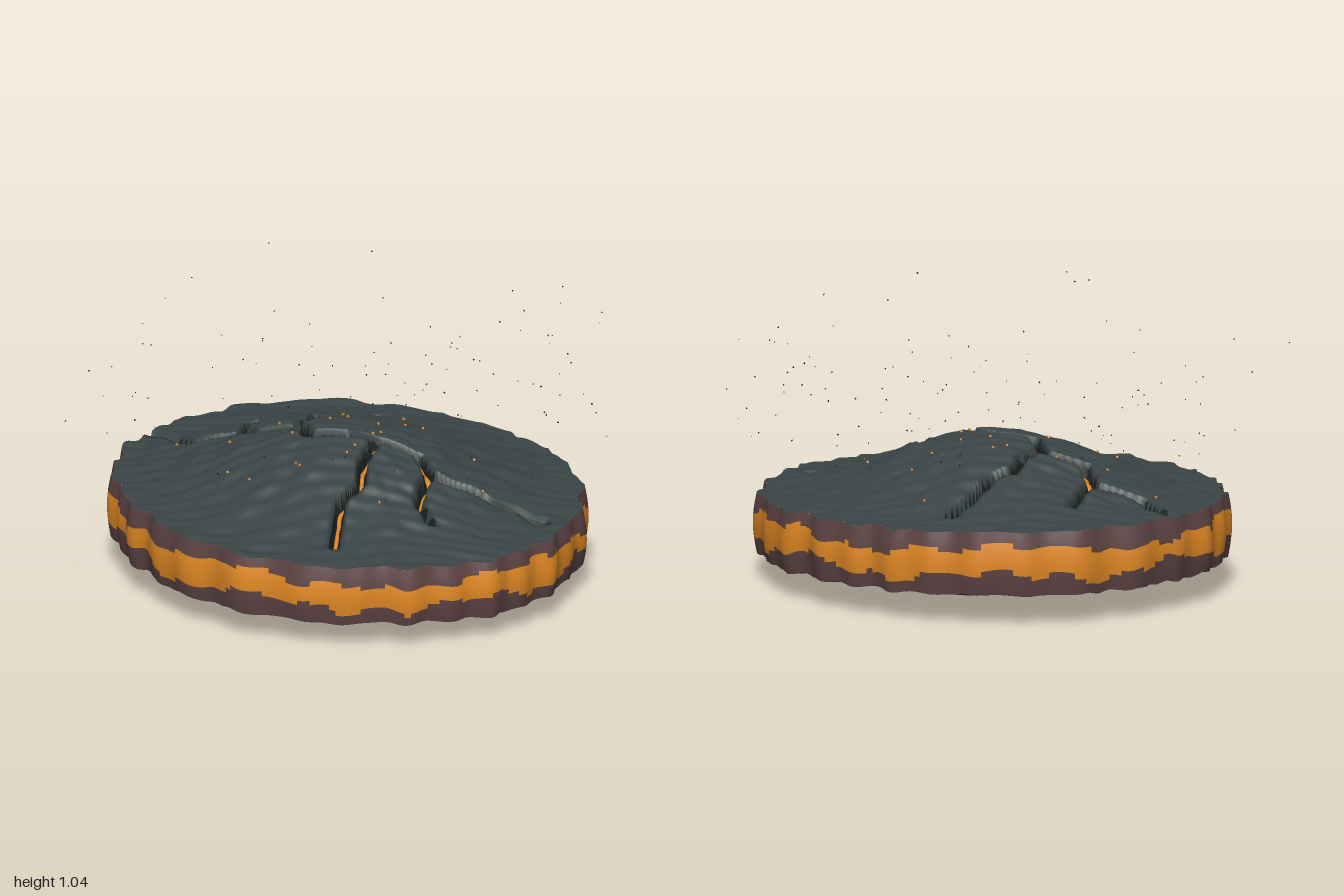
import * as THREE from 'three';
import { mergeGeometries } from 'three/addons/utils/BufferGeometryUtils.js';

const { sin, cos, PI, hypot, round } = Math;

// Crack lines: half width w, points [x, z]
const TOP_CRACKS = [
  { w: 0.02, glow: 0.011, p: [[-0.8, 0.2], [-0.71, 0.17], [-0.6, 0.18], [-0.48, 0.07], [-0.37, 0.105], [-0.257, 0.016], [-0.124, 0.058],
    [-0.03, -0.026], [0.07, -0.074], [0.17, -0.164], [0.283, -0.132], [0.405, -0.265], [0.58, -0.36]] },
  { w: 0.016, glow: 0.008, p: [[-0.257, 0.016], [-0.29, -0.074], [-0.368, -0.16], [-0.362, -0.228], [-0.42, -0.333], [-0.452, -0.407], [-0.484, -0.466]] },
  { w: 0.016, glow: 0.007, p: [[0.07, -0.074], [0.135, 0.03], [0.23, 0.106], [0.262, 0.21], [0.436, 0.365]] },
  { w: 0.013, glow: 0.005, p: [[0.283, -0.132], [0.32, -0.074], [0.384, -0.01], [0.49, 0.016]] },
  { w: 0.012, glow: 0.003, p: [[-0.48, 0.07], [-0.553, -0.016], [-0.616, -0.095]] },
];
const BOTTOM_CRACKS = [
  { w: 0.02, p: [[0.57, 0.42], [0.4, 0.32], [0.216, 0.27], [-0.014, 0.11], [-0.2, 0.03], [-0.33, -0.08], [-0.53, -0.18], [-0.66, -0.4]] },
  { w: 0.014, glow: 0.005, p: [[-0.014, 0.11], [0.18, 0], [0.25, -0.08], [0.42, -0.216]] },
  { w: 0.014, glow: 0.005, p: [[-0.33, -0.08], [-0.08, -0.26], [0.156, -0.396]] },
  { w: 0.012, glow: 0.003, p: [[-0.53, -0.18], [-0.6, -0.1], [-0.68, -0.046]] },
];

function lineDistance(x, z, pts) {
  let best = 9;
  for (let i = 1; i < pts.length; i++) {
    const [ax, az] = pts[i - 1], dx = pts[i][0] - ax, dz = pts[i][1] - az;
    const k = THREE.MathUtils.clamp(((x - ax) * dx + (z - az) * dz) / (dx * dx + dz * dz), 0, 1);
    best = Math.min(best, hypot(x - ax - k * dx, z - az - k * dz));
  }
  return best;
}
function grooveDepth(x, z, cracks, depth) {
  let g = 0;
  for (const c of cracks)
    g = Math.max(g, 1 - THREE.MathUtils.smoothstep(lineDistance(x, z, c.p), c.w * 0.45, c.w * 1.3));
  return g * depth;
}

// Wavy oval outline
const CX = -0.05, CZ = -0.05, RX = 0.808, RZ = 0.728;
const outline = a => 1 + 0.011 * sin(29 * a + 2 * sin(3 * a)) + 0.008 * sin(17 * a + 1) + 0.008 * sin(5 * a + 2) + 0.01 * sin(2 * a + 0.4);
const place = (a, t) => [CX + RX * t * outline(a) * cos(a), CZ + RZ * t * outline(a) * sin(a)];
const rough = (x, z) => 0.0025 * sin(90 * (0.8 * x + 0.6 * z) + 3 * sin(9 * z)) + 0.003 * sin(31 * x - 12 * z + 2 * sin(13 * z))
  + 0.002 * sin(57 * z + 21 * x + 2 * sin(17 * x));
const ovalT = (x, z) => {
  const a = Math.atan2((z - CZ) / RZ, (x - CX) / RX);
  return hypot((x - CX) / RX, (z - CZ) / RZ) / outline(a);
};
const rimTop = (x, z) => 0.285 - 0.028 * x + rough(x, z);
const rimBottom = (x, z) => 0.088 - 0.015 * x + rough(x, z);
const topY = (x, z) => rimTop(x, z) + 0.095 * (1 + cos(PI * Math.min(1, ovalT(x, z)))) - grooveDepth(x, z, TOP_CRACKS, 0.06);
const bottomY = (x, z) => rimBottom(x, z) - 0.04 * (1 + cos(PI * Math.min(1, ovalT(x, z)))) + grooveDepth(x, z, BOTTOM_CRACKS, 0.045);

// Closed ring surface: point(a, v), with a material index chosen for each cell
function ringSurface(nu, nv, point, pick, flip) {
  const pos = [], cells = [[], []];
  for (let j = 0; j <= nv; j++)
    for (let i = 0; i < nu; i++) pos.push(...point((i / nu) * PI * 2, j / nv));
  for (let j = 0; j < nv; j++)
    for (let i = 0; i < nu; i++) {
      const k = (i + 1) % nu, a = j * nu + i, b = j * nu + k, c = a + nu, d = b + nu;
      const out = cells[pick(((i + 0.5) / nu) * PI * 2, j, (j + 0.5) / nv)];
      if (flip) out.push(a, c, b, b, c, d);
      else out.push(a, b, c, b, d, c);
    }
  const g = new THREE.BufferGeometry();
  g.setAttribute('position', new THREE.Float32BufferAttribute(pos, 3));
  g.setIndex([...cells[0], ...cells[1]]);
  g.addGroup(0, cells[0].length, 0);
  g.addGroup(cells[0].length, cells[1].length, 1);
  g.computeVertexNormals();
  return g;
}

export function createModel() {
  const mat = (name, color) => Object.assign(new THREE.MeshStandardMaterial({ color }), { name });
  const slate = mat('slate', 0x3a4444), char = mat('char', 0x1c2020);
  const maroon = mat('maroon', 0x5e4444), ember = mat('ember orange', 0xe38a24);
  const group = new THREE.Group();
  group.name = 'crackedSlab';
  const add = (name, geometry, material) => {
    const m = new THREE.Mesh(geometry, material);
    m.name = name;
    group.add(m);
  };

  // Domed top and shallow underside, both grooved by cracks
  const inCrack = cracks => (a, j, v) => {
    const [x, z] = place(a, v);
    return cracks.some(c => c.glow && lineDistance(x, z, c.p) < c.w * 0.95) ? 1 : 0;
  };
  const sheet = height => (a, t) => {
    const [x, z] = place(a, t);
    return [x, height(x, z), z];
  };
  add('domeTop', ringSurface(320, 96, sheet(topY), inCrack(TOP_CRACKS), false), [slate, char]);
  add('underside', ringSurface(240, 72, sheet(bottomY), inCrack(BOTTOM_CRACKS), true), [slate, char]);

  // Bulging rim wall with a stepped glowing band
  const ROWS = 12;
  const wall = (a, v) => {
    const [x0, z0] = place(a, 1);
    const [x, z] = place(a, 1 + 0.016 * sin(PI * v));
    const wave = sin(PI * v) * (0.006 * sin(11 * a + 1) + 0.004 * sin(26 * a));
    return [x, THREE.MathUtils.lerp(rimBottom(x0, z0), rimTop(x0, z0), v) + wave, z];
  };
  const inBand = (a, j) => {
    const lo = round(3.6 + 1.0 * sin(7 * a + 0.7) + 0.7 * sin(22 * a + 2));
    const hi = round(8.6 + 0.8 * sin(5 * a + 2.2) + 0.6 * sin(19 * a));
    return j >= lo && j < hi ? 1 : 0;
  };
  add('rimWall', ringSurface(240, ROWS, wall, inBand, true), [maroon, ember]);

  // Glowing veins on the crack floors
  const vein = (c, height, lift) => {
    const pts = [];
    c.p.forEach(([x, z], i) => {
      const [px, pz] = c.p[i - 1] || [x, z], n = i ? 5 : 1;
      for (let k = 1; k <= n; k++) {
        const X = px + ((x - px) * k) / n, Z = pz + ((z - pz) * k) / n;
        pts.push(new THREE.Vector3(X, height(X, Z) + lift, Z));
      }
    });
    return new THREE.TubeGeometry(new THREE.CatmullRomCurve3(pts), pts.length * 3, c.glow, 6);
  };
  add('topVeins', mergeGeometries(TOP_CRACKS.map(c => vein(c, topY, 0.004))), ember);
  add('undersideVeins', mergeGeometries(BOTTOM_CRACKS.filter(c => c.glow).map(c => vein(c, bottomY, -0.002))), ember);

  // Drifting specks of ash and sparks
  let seed = 7;
  const rnd = () => (seed = (seed * 16807) % 2147483647) / 2147483647;
  const speck = (x, y, z, r) => new THREE.OctahedronGeometry(r).rotateX(rnd() * 3).rotateZ(rnd() * 3).translate(x, y, z);
  const ash = [[-0.97, 0.54, 0.1], [0.87, 0.52, -0.1], [0.02, 0.7, -0.997], [-0.15, 0.68, 0.997], [-0.35, 1.04, 0.05]]
    .map(([x, y, z]) => speck(x, y, z, 0.003));
  const sparks = [];
  for (let i = 0; i < 130; i++) {
    const a = rnd() * PI * 2, r = 0.85 * Math.sqrt(rnd());
    ash.push(speck(CX + r * cos(a), 0.46 + 0.45 * rnd() * rnd(), CZ + r * sin(a), 0.002 + 0.002 * rnd()));
  }
  for (let i = 0; i < 24; i++) {
    const [x, z] = place(rnd() * PI * 2, 0.1 + 0.7 * rnd());
    sparks.push(speck(x, topY(x, z) + 0.004, z, 0.006));
  }
  add('ashSpecks', mergeGeometries(ash), char);
  add('surfaceSparks', mergeGeometries(sparks), ember);
  return group;
}
